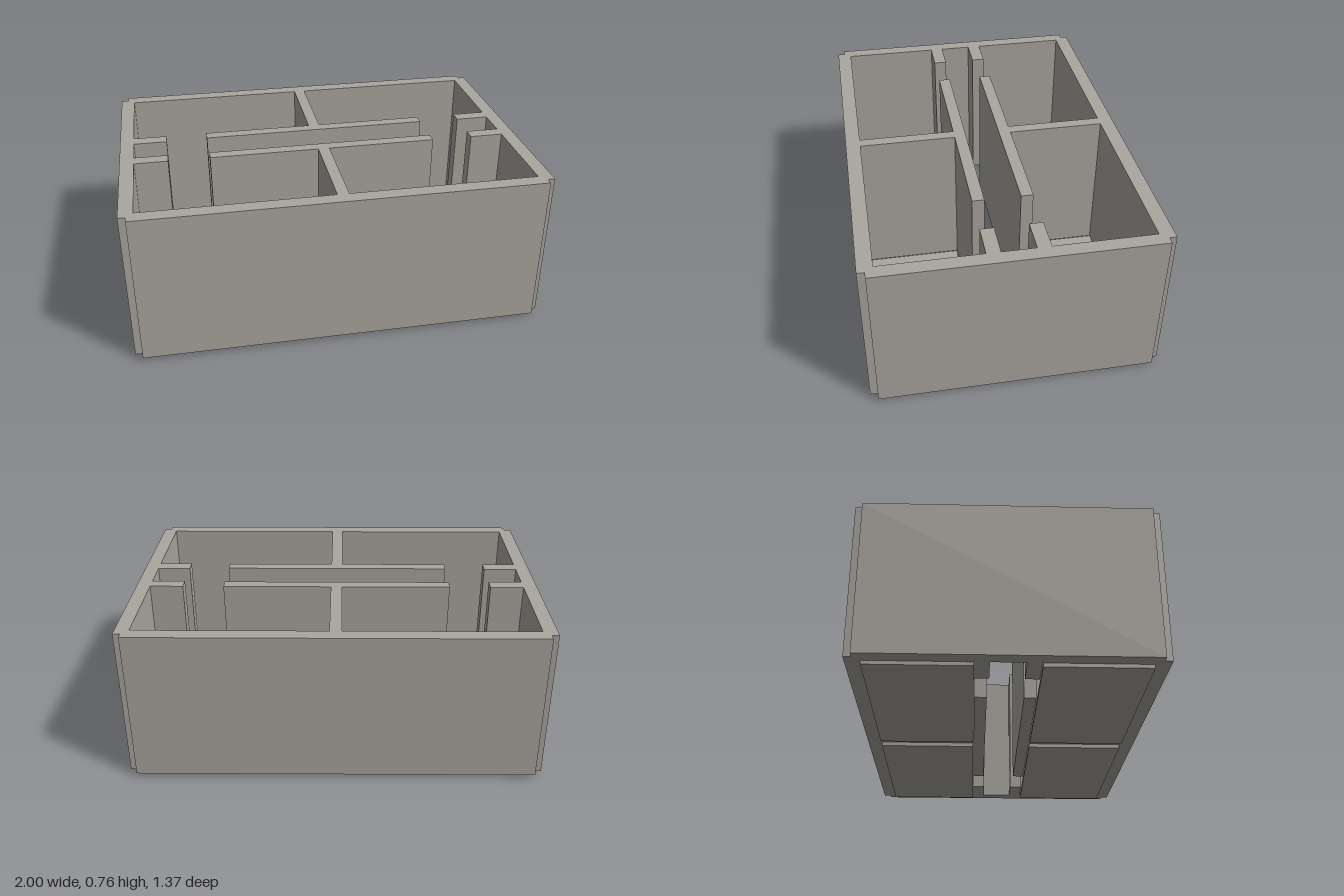
import * as THREE from 'three';

const TOP = 0.765, BASE = 0.018;

export function createModel() {
  const group = new THREE.Group();
  const boardGrey = new THREE.MeshStandardMaterial({ color: 0xaaa69f });
  boardGrey.name = 'boardGrey';

  const points = list => list.map(([x, z]) => new THREE.Vector2(x, z));
  // Mirrors one corner's points so that they run round all the way
  const mirrorX = list => list.map(([x, z]) => [-x, z]).reverse();
  const mirrorZ = list => list.map(([x, z]) => [x, -z]).reverse();

  // Outer outline with a small step notched out of each corner
  const corner = [[1, 0.652], [0.965, 0.652], [0.965, 0.687]];
  const half = [...mirrorZ(corner), ...corner];
  const outline = new THREE.Shape(points([...half, ...mirrorX(half)]));

  // Open interior: four bays joined round the ends of the spines by a central channel
  const bay = [[0.565, 0.085], [0.565, 0.143], [0.028, 0.143], [0.028, 0.616],
    [0.932, 0.616], [0.932, 0.143], [0.768, 0.143], [0.768, 0.078], [0.932, 0.078]];
  const side = [...bay, ...mirrorZ(bay)];
  outline.holes.push(new THREE.Path(points([...side, ...mirrorX(side)])));

  // Outer walls, divider, spines and end posts in one solid
  const walls = new THREE.ExtrudeGeometry(outline, { depth: TOP - BASE, bevelEnabled: false });
  walls.rotateX(-Math.PI / 2).translate(0, BASE, 0);
  const frame = new THREE.Mesh(walls, boardGrey);
  frame.name = 'wallsAndDividers';
  group.add(frame);

  // Floor panel under each bay, hanging just below the walls
  for (const sx of [-1, 1]) {
    for (const sz of [-1, 1]) {
      const floor = new THREE.Mesh(new THREE.BoxGeometry(0.9, 0.02, 0.472), boardGrey);
      floor.position.set(sx * 0.482, 0.01, sz * 0.381);
      floor.name = `floor${sz > 0 ? 'Front' : 'Back'}${sx > 0 ? 'Left' : 'Right'}`;
      group.add(floor);
    }
  }
  return group;
}
